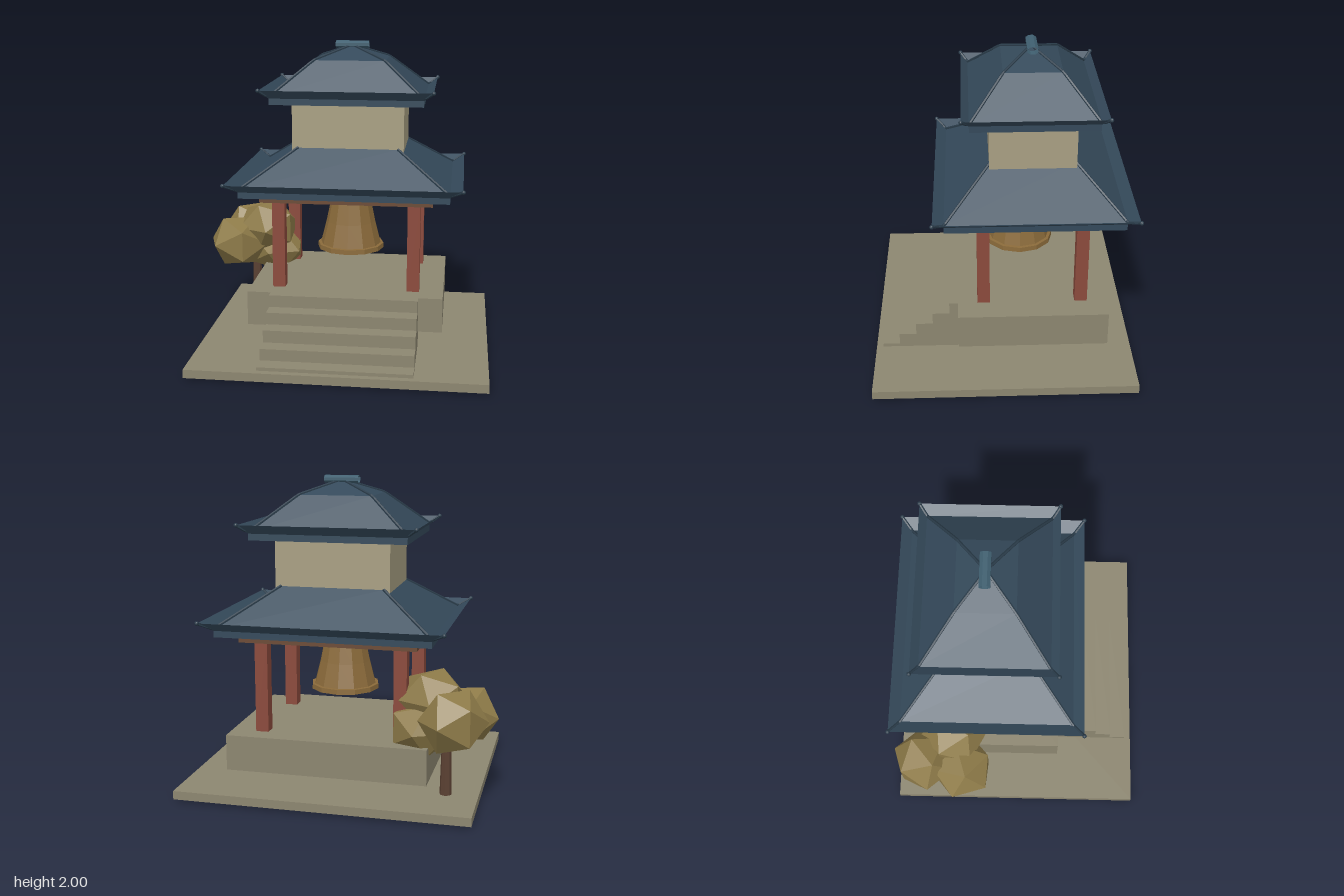
import * as THREE from 'three';

const CX = 0.052, CZ = -0.185; // centre of the pavilion

const mat = (color, side = THREE.FrontSide) => {
  const m = new THREE.MeshStandardMaterial({ color, flatShading: true });
  m.side = side;
  return m;
};
const stone = mat(0x8c8670), roofBlue = mat(0x34495a), ridgeBlue = mat(0x2a3c4a);
const red = mat(0x8b4a3c), plaster = mat(0xa89f82), brown = mat(0x6b4a35);
const bronze = mat(0x8a6a3a, THREE.DoubleSide), leaf = mat(0x8d7a48), bark = mat(0x5a4032);
const capBlue = mat(0x3f5f70, THREE.DoubleSide);

function add(parent, name, geometry, material, x = 0, y = 0, z = 0) {
  const mesh = new THREE.Mesh(geometry, material);
  mesh.name = name;
  mesh.position.set(x, y, z);
  parent.add(mesh);
  return mesh;
}

// Box given by its minimum and maximum corners
function box(parent, name, material, [x0, y0, z0], [x1, y1, z1]) {
  return add(parent, name, new THREE.BoxGeometry(x1 - x0, y1 - y0, z1 - z0), material,
    (x0 + x1) / 2, (y0 + y1) / 2, (z0 + z1) / 2);
}

// Rectangular cross-sections [halfX, halfZ, y] joined from the bottom up
function rectLoft(rings) {
  const corners = ([a, b, y]) => [[a, y, b], [a, y, -b], [-a, y, -b], [-a, y, b]];
  const pos = [];
  const quad = (a, b, c, d) => pos.push(...a, ...b, ...c, ...a, ...c, ...d);
  for (let i = 0; i < rings.length - 1; i++) {
    const lo = corners(rings[i]), hi = corners(rings[i + 1]);
    for (let k = 0; k < 4; k++) {
      const n = (k + 1) % 4;
      quad(lo[k], lo[n], hi[n], hi[k]);
    }
  }
  const [a, b, c, d] = corners(rings[0]);
  quad(d, c, b, a);
  const g = new THREE.BufferGeometry();
  g.setAttribute('position', new THREE.Float32BufferAttribute(pos, 3));
  g.computeVertexNormals();
  return g;
}

// Hipped roof with an upturned eave; ridges follow the hips from the tip inwards
function makeRoof(name, rings, tipIndex) {
  const roof = new THREE.Group();
  roof.name = name;
  add(roof, name + 'Tiles', rectLoft(rings), roofBlue);
  for (const sx of [-1, 1]) for (const sz of [-1, 1]) {
    const pts = rings.slice(tipIndex).map(([a, b, y]) => new THREE.Vector3(sx * a, y, sz * b));
    const path = new THREE.CurvePath();
    for (let i = 0; i < pts.length - 1; i++) path.add(new THREE.LineCurve3(pts[i], pts[i + 1]));
    add(roof, 'hipRidge', new THREE.TubeGeometry(path, 24, 0.01, 6), ridgeBlue);
    add(roof, 'ridgeTip', new THREE.IcosahedronGeometry(0.014, 1), ridgeBlue, ...pts[0].toArray());
  }
  roof.position.set(CX, 0, CZ);
  return roof;
}

export function createModel() {
  const model = new THREE.Group();
  model.name = 'bellPavilion';

  // Ground slab and raised platform
  box(model, 'groundSlab', stone, [-0.882, 0.013, -0.832], [0.986, 0.068, 0.832]);
  box(model, 'platform', stone, [-0.585, 0.175, -0.662], [0.689, 0.402, 0.292]);

  // Stairs: side profile pulled across the width
  const steps = [[0.79, 0.09], [0.68, 0.165], [0.57, 0.245], [0.46, 0.323], [0.35, 0.402]];
  const profile = new THREE.Shape();
  profile.moveTo(-0.235, 0.06);
  profile.lineTo(-steps[0][0], 0.06);
  steps.forEach(([z, y], i) => {
    profile.lineTo(-z, y);
    profile.lineTo(-(i < 4 ? steps[i + 1][0] : 0.235), y);
  });
  const stairs = add(model, 'stairs',
    new THREE.ExtrudeGeometry(profile, { depth: 0.963, bevelEnabled: false }), stone, -0.43);
  stairs.rotation.y = Math.PI / 2;

  // Four posts and the ceiling plate
  for (const sx of [-1, 1]) for (const sz of [-1, 1]) {
    add(model, 'post', new THREE.BoxGeometry(0.082, 0.6, 0.08), red,
      0.048 + sx * 0.443, 0.697, CZ + sz * 0.313);
  }
  box(model, 'ceilingPlate', brown, [-0.508, 0.99, -0.605], [0.612, 1.046, 0.235]);

  // Roofs and upper storey
  model.add(makeRoof('lowerRoof', [
    [0.67, 0.55, 1.045], [0.67, 0.55, 1.085], [0.75, 0.617, 1.14],
    [0.67, 0.55, 1.097], [0.325, 0.268, 1.33],
  ], 2));
  box(model, 'upperStorey', plaster, [-0.312, 1.31, -0.455], [0.414, 1.63, 0.085]);
  model.add(makeRoof('upperRoof', [
    [0.492, 0.39, 1.622], [0.492, 0.39, 1.663], [0.552, 0.436, 1.717],
    [0.492, 0.39, 1.672], [0.232, 0.182, 1.887], [0.002, 0.002, 1.972],
  ], 2));

  // Open-ended ridge cap
  const cap = add(model, 'ridgeCap',
    new THREE.CylinderGeometry(0.036, 0.036, 0.218, 8, 1, true, Math.PI / 8), capBlue, CX, 1.977, -0.19);
  cap.rotation.z = Math.PI / 2;
  cap.scale.x = 0.7;

  // Hanging bell with a heavy lip
  const bell = new THREE.Group();
  bell.name = 'bell';
  const lathe = pts => new THREE.LatheGeometry(pts.map(p => new THREE.Vector2(...p)), 12);
  add(bell, 'bellBody', lathe([[0.208, 0.63], [0.165, 0.8], [0.135, 0.945], [0.135, 0.975], [0.11, 0.992], [0, 0.992]]), bronze);
  add(bell, 'bellLip', lathe([[0.185, 0.617], [0.224, 0.617], [0.222, 0.648], [0.185, 0.652], [0.185, 0.617]]), bronze);
  bell.position.set(CX, 0, -0.118);
  model.add(bell);

  // Small tree beside the platform
  const tree = new THREE.Group();
  tree.name = 'tree';
  add(tree, 'trunk', new THREE.CylinderGeometry(0.027, 0.04, 0.5, 8), bark, -0.678, 0.25, -0.482);
  const clumps = [ // x, y, z, radius, height ratio, turn
    [-0.775, 0.555, -0.365, 0.22, 0.9, 0.3],
    [-0.575, 0.665, -0.42, 0.225, 0.85, 1.1],
    [-0.525, 0.49, -0.48, 0.215, 0.87, 2.0],
    [-0.735, 0.58, -0.62, 0.215, 1.0, 0.7],
  ];
  for (const [x, y, z, r, h, turn] of clumps) {
    const clump = add(tree, 'foliage', new THREE.IcosahedronGeometry(r, 0), leaf, x, y, z);
    clump.rotation.y = turn;
    clump.scale.y = h;
  }
  model.add(tree);

  return model;
}
